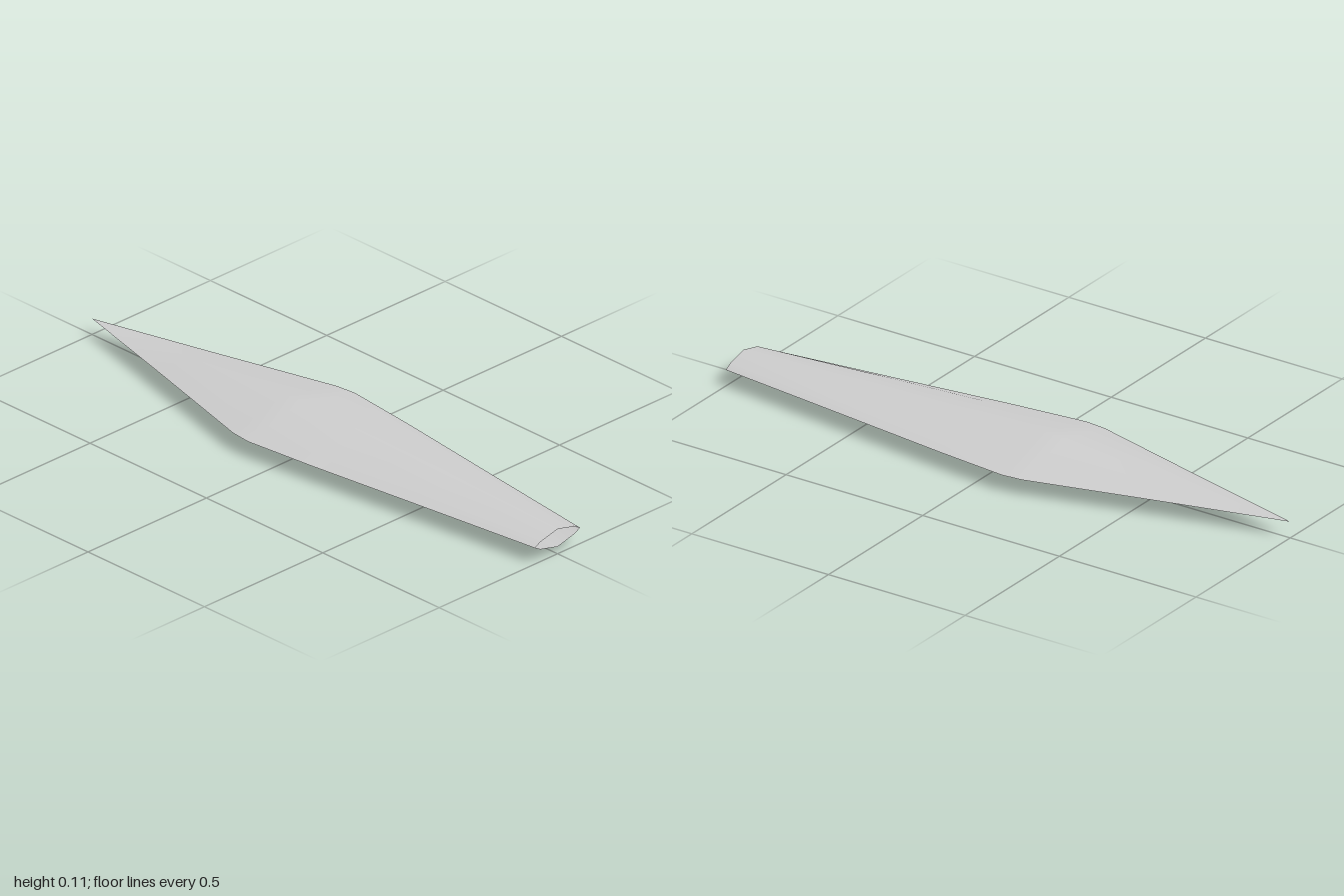
import * as THREE from 'three';

const MID = 0.054; // height of the sharp side edges

// Stations along the blade: z, half width, shoulder x, shoulder height, ridge height
const STATIONS = [
  [-1, 0, 0, 0, 0],
  [-0.6, 0.104, 0.079, 0.006, 0.025],
  [-0.17, 0.219, 0.168, 0.012, 0.051],
  [-0.1, 0.226, 0.173, 0.0125, 0.054],
  [0.15, 0.2, 0.154, 0.0125, 0.048],
  [0.55, 0.15, 0.118, 0.0125, 0.04],
  [1, 0.095, 0.073, 0.0125, 0.03],
];

// One smooth half of the hollow shell; side is +1 for the top, -1 for the bottom
function halfShell(side) {
  const positions = [];
  const index = [];
  for (const [z, w, sx, sh, h] of STATIONS) {
    const section = [[-w, 0], [-sx, sh], [0, h], [sx, sh], [w, 0]];
    for (const [x, y] of section) positions.push(x, MID + side * y, z);
  }
  const tri = (a, b, c) => index.push(...(side > 0 ? [a, b, c] : [a, c, b]));
  for (let i = 0; i < STATIONS.length - 1; i++) {
    for (let j = 0; j < 4; j++) {
      const a = i * 5 + j, b = a + 1, c = a + 5, d = a + 6;
      if (i > 0) tri(a, c, b); // the tip row has only one triangle per strip
      tri(b, c, d);
    }
  }
  const g = new THREE.BufferGeometry();
  g.setAttribute('position', new THREE.Float32BufferAttribute(positions, 3));
  g.setIndex(index);
  g.computeVertexNormals();
  // All tip points share one normal
  const n = g.attributes.normal;
  for (let j = 0; j < 5; j++) n.setXYZ(j, 0, side, 0);
  return g;
}

export function createModel() {
  const group = new THREE.Group();
  group.name = 'blade';
  const steel = new THREE.MeshStandardMaterial({ color: 0xcccccc, side: THREE.DoubleSide });
  steel.name = 'pale grey';

  // Upper and lower faces meet at the sharp side edges; the front end is open
  for (const [name, side] of [['upperBlade', 1], ['lowerBlade', -1]]) {
    const mesh = new THREE.Mesh(halfShell(side), steel);
    mesh.name = name;
    group.add(mesh);
  }
  return group;
}
